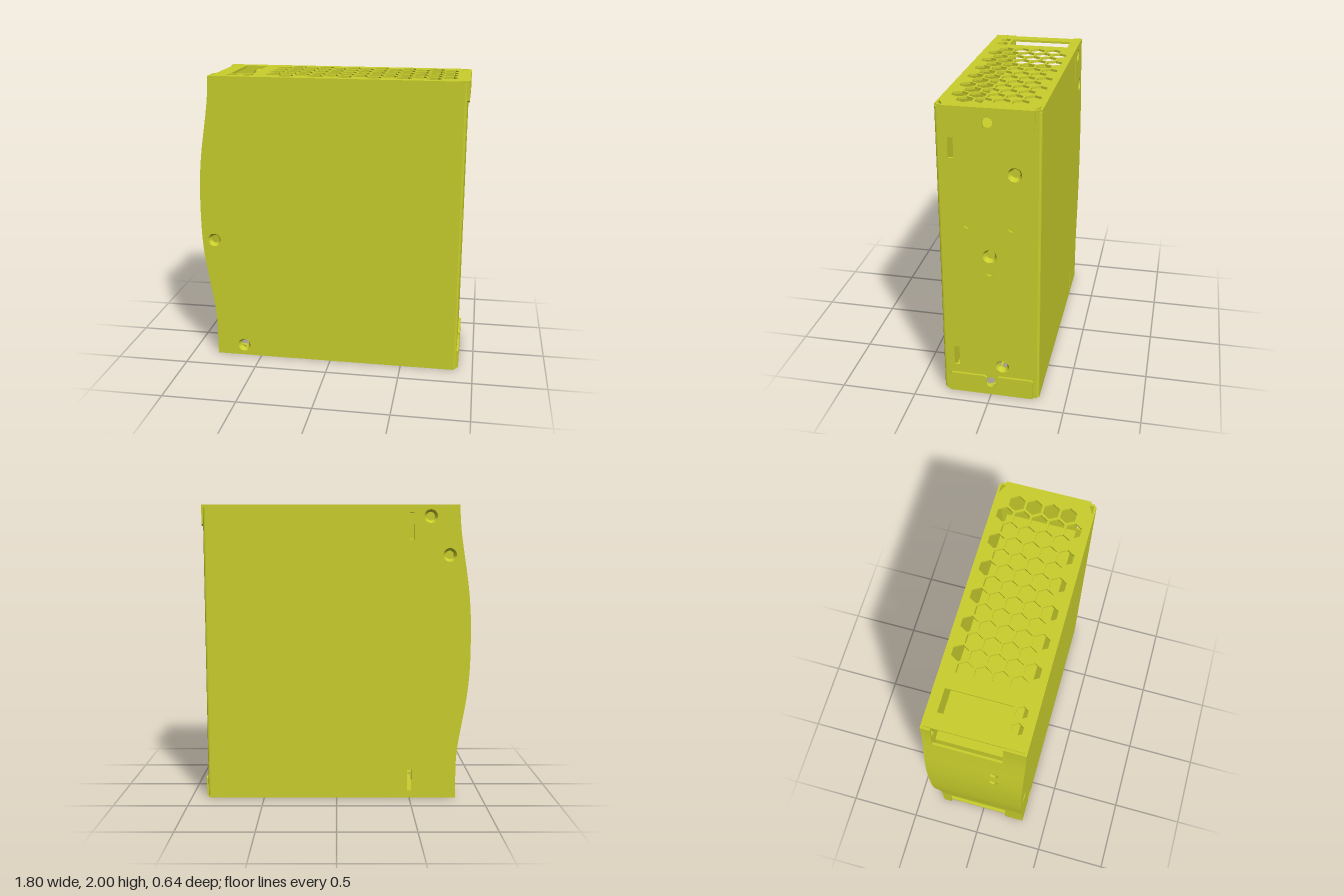
import * as THREE from 'three';
import { mergeGeometries, toCreasedNormals } from 'three/addons/utils/BufferGeometryUtils.js';

const T = 0.015; // sheet thickness
const V = (x, y) => new THREE.Vector2(x, y);
const rect = (x0, y0, x1, y1) => [V(x0, y0), V(x1, y0), V(x1, y1), V(x0, y1)];
const ngon = (x, y, r, n = 20) =>
  Array.from({ length: n }, (_, i) => V(x + r * Math.cos(i * 2 * Math.PI / n), y + r * Math.sin(i * 2 * Math.PI / n)));

// x of the bulging end face at height y
function bulge(y) {
  const d = Math.min(1, Math.abs(y - 1.06) / (y < 1.06 ? 0.85 : 0.94));
  return -0.818 - 0.087 * (0.5 + 0.5 * Math.cos(Math.PI * d ** 1.3));
}

// sheet with holes, lying in xy and thickened along +z
function sheet(outline, holes = []) {
  const shape = new THREE.Shape(outline);
  shape.holes = holes.map(h => new THREE.Path(h));
  return new THREE.ExtrudeGeometry(shape, { depth: T, bevelEnabled: false });
}

export function createModel() {
  const group = new THREE.Group();
  const material = new THREE.MeshStandardMaterial({ color: 0xc9cf2c, side: THREE.DoubleSide });
  const add = (name, geometry, x = 0, y = 0, z = 0) => {
    const mesh = new THREE.Mesh(toCreasedNormals(geometry, 0.5), material);
    mesh.name = name;
    mesh.position.set(x, y, z);
    group.add(mesh);
    return mesh;
  };
  const countersink = (x, y, z, rx, rz) => {
    const g = new THREE.CylinderGeometry(0.045, 0.028, 0.03, 24, 1, true).translate(0, -0.015, 0);
    add('countersink', g, x, y, z).rotation.set(rx, 0, rz);
  };

  // large side panels, following the bulging edge
  const side = [V(0.87, 0), V(0.87, 2)];
  for (let i = 40; i >= 0; i--) side.push(V(bulge(i / 20), i / 20));
  const frontScrews = [[-0.815, 0.86], [-0.625, 0.075]];
  const backScrews = [[-0.625, 1.925], [-0.755, 1.67]];
  add('frontPanel', sheet(side, frontScrews.map(([x, y]) => ngon(x, y, 0.045, 24))), 0, 0, 0.305);
  add('backPanel', sheet(side, [
    ...backScrews.map(([x, y]) => ngon(x, y, 0.045, 24)),
    rect(-0.515, 1.76, -0.485, 1.95), rect(-0.515, 0.05, -0.485, 0.2),
  ]), 0, 0, -0.32);
  frontScrews.forEach(([x, y]) => countersink(x, y, 0.32, Math.PI / 2, 0));
  backScrews.forEach(([x, y]) => countersink(x, y, -0.32, -Math.PI / 2, 0));

  // mounting panel at the +x end (sheet x runs along -z)
  const bigHoles = [[0.16, 1.59], [0, 1.03], [0.075, 0.22]];
  const mount = sheet(rect(-0.305, 0, 0.305, 2), [
    ...bigHoles.map(([u, y]) => ngon(u, y, 0.045, 24)),
    ngon(0.14, 1.235, 0.023), ngon(-0.14, 1.235, 0.023), ngon(0, 0.915, 0.023),
    ngon(0, 1.91, 0.035), ngon(0, 0.09, 0.035),
    rect(-0.247, 1.67, -0.212, 1.8), rect(-0.247, 0.2, -0.212, 0.34),
  ]);
  add('mountingPanel', mount.rotateY(Math.PI / 2), 0.87);
  bigHoles.forEach(([u, y]) => countersink(0.885, y, -u, 0, -Math.PI / 2));

  // folded flaps with a keyhole notch, mirrored top to bottom
  const half = [V(0.28, 2), V(0.28, 1.873), V(0.267, 1.86), V(0.045, 1.86), V(0.028, 1.873), V(0.028, 1.89)];
  const arch = Array.from({ length: 11 }, (_, i) => {
    const a = -0.5 + i * (Math.PI + 1) / 10;
    return V(0.032 * Math.cos(a), 1.91 + 0.032 * Math.sin(a));
  });
  const flap = [...half, ...arch, ...half.map(p => V(-p.x, p.y)).reverse()];
  add('topFlap', sheet(flap).rotateY(Math.PI / 2), 0.885);
  add('bottomFlap', sheet(flap.map(p => V(p.x, 2 - p.y))).rotateY(Math.PI / 2), 0.885);

  // rounded bends along the mounting panel
  for (const s of [1, -1]) {
    const bend = new THREE.CylinderGeometry(T, T, 1.97, 8, 1, false, s > 0 ? 0 : Math.PI / 2, Math.PI / 2);
    add('cornerBend', bend, 0.87, 1, s * 0.305);
  }

  // top and bottom vents: honeycomb, access window and two small hexagons
  const vents = [rect(-0.7, -0.25, -0.545, 0.17), ngon(-0.675, 0.225, 0.04, 6), ngon(-0.57, 0.225, 0.04, 6)];
  for (let c = 0; c < 13; c++) {
    const n = c % 2 ? 5 : 4;
    for (let r = 0; r < n; r++) {
      vents.push(ngon(-0.407 + c * 0.0975, -0.004 + (r - (n - 1) / 2) * 0.112, 0.056, 6));
    }
  }
  const lid = [V(-0.8, -0.305), V(0.81, -0.305), V(0.87, -0.275), V(0.87, 0.275), V(0.81, 0.305), V(-0.8, 0.305)];
  add('topVent', sheet(lid, vents).rotateX(Math.PI / 2), 0, 2);
  add('bottomVent', sheet(lid, vents).rotateX(Math.PI / 2), 0, T);

  // bulging end face in bent bands, open at top and bottom for the connectors
  const levels = [0, 0.08, 0.155, 0.23];
  for (let y = 0.28; y < 1.7; y += 0.12) levels.push(y);
  levels.push(1.77, 1.85, 1.92, 2);
  const bands = [];
  for (let i = 0; i + 1 < levels.length; i++) {
    const y0 = levels[i], y1 = levels[i + 1], mid = (y0 + y1) / 2;
    if (mid < 0.23 || mid > 1.77) {
      bands.push(sheet(rect(-0.305, y0, -0.26, y1)), sheet(rect(0.18, y0, 0.305, y1)));
    } else {
      const lights = [1.54, 1.42].filter(y => y - 0.03 > y0 && y + 0.03 < y1);
      bands.push(sheet(rect(-0.305, y0, 0.305, y1), lights.map(y => ngon(0.13, y, 0.028))));
    }
  }
  const face = mergeGeometries(bands).rotateY(-Math.PI / 2); // sheet x to z, depth to -x
  const p = face.attributes.position;
  for (let i = 0; i < p.count; i++) p.setX(i, p.getX(i) + T + bulge(p.getY(i)));
  add('bulgingFace', face);

  // inner block behind the vents and connector openings
  add('innerBlock', new THREE.BoxGeometry(1.6, 1.54, 0.47), 0, 1, -0.015);

  return group;
}
